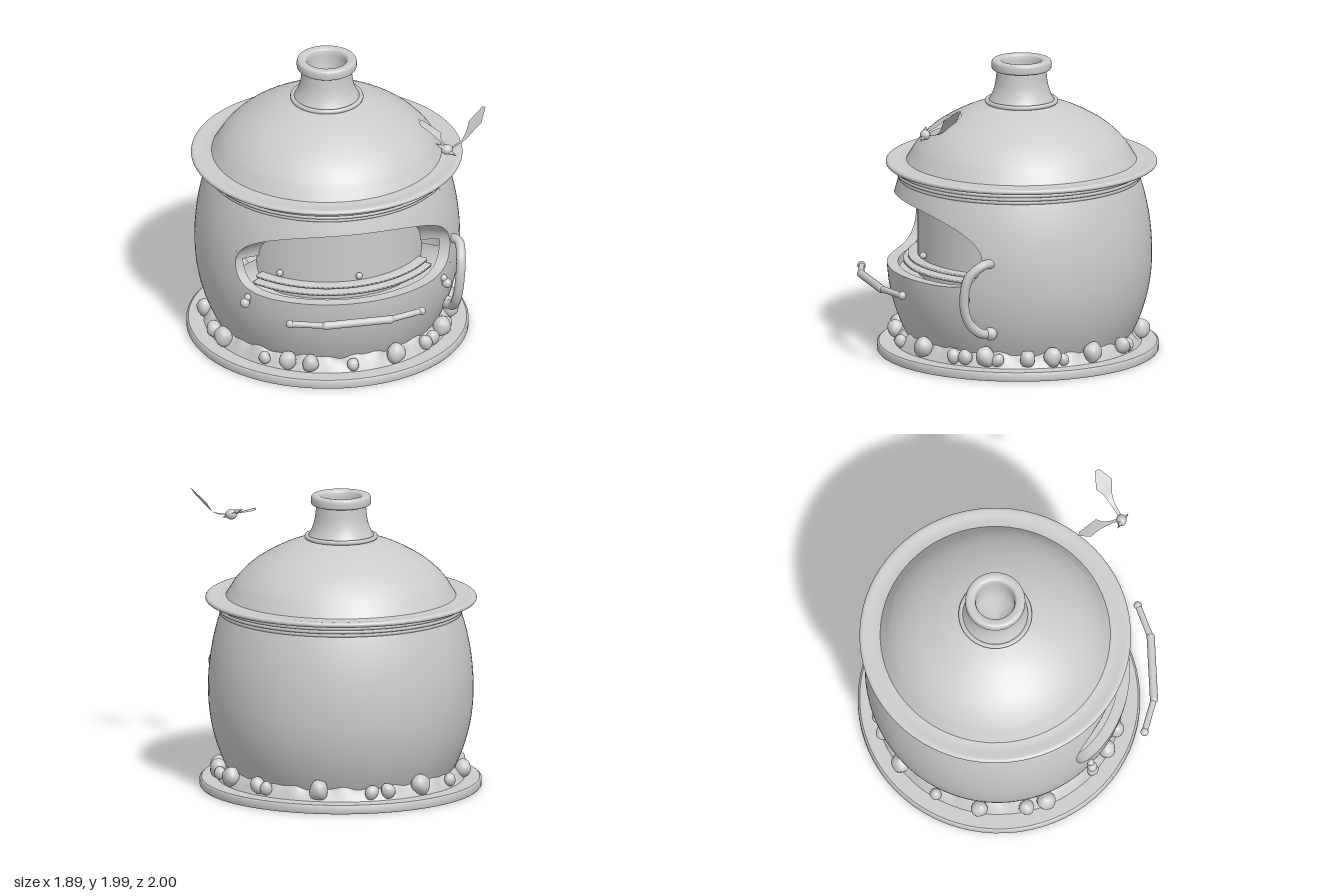
import * as THREE from 'three';
import { ParametricGeometry } from 'three/addons/geometries/ParametricGeometry.js';

const material = new THREE.MeshStandardMaterial({ color: 0xcccccc, side: THREE.DoubleSide });
const AXIS_Z = -0.07;              // the pot's axis sits a little behind the centre
const OPEN = THREE.MathUtils.degToRad(56); // half angle of the oven mouth
const INNER = 0.68;                // radius of the recess wall
const mix = THREE.MathUtils.lerp;

function add(group, name, geometry, x = 0, y = 0, z = 0) {
  const mesh = new THREE.Mesh(geometry, material);
  mesh.name = name;
  mesh.position.set(x, y, z);
  group.add(mesh);
  return mesh;
}
const v3 = ([x, y, z]) => new THREE.Vector3(x, y, z);
const lathe = (points, segments = 72) =>
  new THREE.LatheGeometry(points.map(([r, y]) => new THREE.Vector2(r, y)), segments);

// Smooth lathe through a few profile points
function smoothLathe(points) {
  const curve = new THREE.SplineCurve(points.map(([r, y]) => new THREE.Vector2(r, y)));
  return new THREE.LatheGeometry(curve.getPoints(points.length * 6), 72);
}

// Patch around the axis; f(u, v) returns [angle from the front, radius, y]
function patch(f, nu, nv) {
  return new ParametricGeometry((u, v, target) => {
    const [a, r, y] = f(u, v);
    target.set(r * Math.sin(a), y, r * Math.cos(a));
  }, nu, nv);
}

// Belly radius by height
function belly(y) {
  return y < 0.68
    ? 0.887 - 0.165 * Math.pow((0.68 - y) / 0.62, 2.2)
    : 0.887 - 0.08 * Math.pow((y - 0.68) / 0.5, 2);
}

// Edges of the mouth by angle
const edge = (a, power) => Math.sqrt(Math.max(0, 1 - Math.pow(Math.min(1, Math.abs(a) / OPEN), power)));
const mouthTop = (a) => 0.8 + 0.29 * edge(a, 2.2);
const mouthBottom = (a) => 0.8 - 0.2 * edge(a, 9);
const mouthAngle = (u) => OPEN * Math.sin((u - 0.5) * Math.PI);

function makeBody() {
  const body = new THREE.Group();
  body.name = 'body';
  const top = 1.2, foot = 0.05;

  add(body, 'backWall', patch((u, v) => {
    const y = mix(foot, top, v);
    return [mix(OPEN, 2 * Math.PI - OPEN, u), belly(y), y];
  }, 64, 28));
  add(body, 'frontWallBelowMouth', patch((u, v) => {
    const a = mouthAngle(u), y = mix(foot, mouthBottom(a), v);
    return [a, belly(y), y];
  }, 60, 16));
  add(body, 'frontWallAboveMouth', patch((u, v) => {
    const a = mouthAngle(u), y = mix(mouthTop(a), top, v);
    return [a, belly(y), y];
  }, 60, 8));

  // Thickness of the wall around the mouth
  add(body, 'mouthArch', patch((u, v) => {
    const a = mouthAngle(u), y = mouthTop(a);
    return [a * (1 - 0.03 * v), mix(belly(y), INNER, v), y - 0.03 * v * v];
  }, 60, 6));
  add(body, 'mouthLip', patch((u, v) => {
    const a = mouthAngle(u), y = mouthBottom(a);
    return [a, mix(belly(y), 0.81, v), y];
  }, 60, 3));
  add(body, 'lipInside', patch((u, v) => {
    const a = mouthAngle(u);
    return [a, 0.81, mouthBottom(a) - 0.06 * v];
  }, 60, 2));
  add(body, 'hearthFloor', patch((u, v) => {
    const a = mouthAngle(u);
    return [a, mix(0.81, INNER, v), mouthBottom(a) - 0.06];
  }, 60, 2));
  add(body, 'recessWall', patch((u, v) =>
    [mix(-OPEN, OPEN, u), INNER, mix(0.5, 1.1, v)], 40, 4));

  // Stepped ledge inside the mouth
  const span = OPEN * 0.92;
  for (const [r, y] of [[0.775, 0.61], [0.745, 0.645]]) {
    const section = [[INNER, y], [r, y], [r, y + 0.02], [INNER, y + 0.02]];
    add(body, 'hearthLedge', new THREE.LatheGeometry(
      section.map(([a, b]) => new THREE.Vector2(a, b)), 40, -span, 2 * span));
  }
  for (const x of [-0.44, 0.07]) {
    const z = Math.sqrt(0.7 * 0.7 - x * x);
    add(body, 'ember', new THREE.SphereGeometry(0.024, 10, 8), x, 0.705, z);
  }

  // Beaded bands under the lid
  for (const [y, r] of [[1.195, 0.8], [1.22, 0.81], [1.245, 0.815]]) {
    const ring = add(body, 'neckBand', new THREE.TorusGeometry(r, 0.014, 8, 72), 0, y, 0);
    ring.rotation.x = Math.PI / 2;
  }
  return body;
}

function makeLid() {
  const lid = new THREE.Group();
  lid.name = 'lid';
  add(lid, 'lidRim', smoothLathe([[0.78, 1.25], [0.84, 1.268], [0.89, 1.27], [0.907, 1.287],
    [0.89, 1.305], [0.82, 1.3], [0.765, 1.305]]));
  add(lid, 'dome', smoothLathe([[0.775, 1.295], [0.745, 1.345], [0.695, 1.42], [0.61, 1.505],
    [0.5, 1.58], [0.36, 1.65], [0.22, 1.695]]));
  const collar = add(lid, 'chimneyCollar', new THREE.TorusGeometry(0.23, 0.016, 8, 48), 0, 1.705, 0);
  collar.rotation.x = Math.PI / 2;
  add(lid, 'chimney', smoothLathe([[0.225, 1.7], [0.195, 1.76], [0.175, 1.83], [0.165, 1.93]]));
  add(lid, 'chimneyLip', smoothLathe([[0.165, 1.92], [0.192, 1.922], [0.2, 1.935], [0.2, 1.97],
    [0.19, 1.987], [0.165, 1.99], [0.138, 1.98], [0.13, 1.94]]));
  add(lid, 'flue', lathe([[0.13, 1.95], [0.13, 1.68], [0, 1.68]], 40));
  return lid;
}

// Base plate with a mound of mortar and a ring of stones
function makeBase() {
  const base = new THREE.Group();
  base.name = 'base';
  add(base, 'plate', lathe([[0, 0], [0.935, 0], [0.935, 0], [0.943, 0.01], [0.943, 0.05],
    [0.93, 0.06], [0.93, 0.06], [0, 0.062]]));
  add(base, 'mortar', patch((u, v) => {
    const a = u * 2 * Math.PI;
    const bump = 1 + 0.16 * Math.sin(13 * a) + 0.14 * Math.sin(29 * a + 1);
    return [a, mix(0.83, 0.74, v), 0.055 + 0.1 * bump * Math.sin(v * Math.PI / 2)];
  }, 120, 6));

  const angles = [-80, -70, -43, -31, -20, 0, 22, 41, 47, 57, 63, 77, 89, 94, 110, 131, 136, 163,
    188, 196, 214, 236, 258];
  angles.forEach((deg, i) => {
    const a = THREE.MathUtils.degToRad(deg);
    const size = 0.05 + 0.012 * Math.sin(i * 2.3);
    const geometry = new THREE.SphereGeometry(size, 14, 10);
    const p = geometry.attributes.position;
    for (let k = 0; k < p.count; k++) {
      const f = 1 + 0.09 * Math.sin(p.getX(k) * 60 + i) * Math.cos(p.getY(k) * 50 + 2 * i);
      p.setXYZ(k, p.getX(k) * f, p.getY(k) * f, p.getZ(k) * f);
    }
    geometry.computeVertexNormals();
    const stone = add(base, 'stone', geometry, 0.82 * Math.sin(a), 0.075 + size, 0.82 * Math.cos(a));
    stone.rotation.set(0, a, 0.3 * Math.sin(i * 1.7));
    stone.scale.set(1.05, 1.15, 1);
  });
  return base;
}

function makeFittings() {
  const fittings = new THREE.Group();
  fittings.name = 'fittings';

  // Looped handle on the left side
  const loop = new THREE.CatmullRomCurve3([[0.73, 0.78, 0.34], [0.79, 0.79, 0.43], [0.785, 0.71, 0.53],
    [0.77, 0.55, 0.56], [0.755, 0.4, 0.525], [0.745, 0.31, 0.43], [0.7, 0.3, 0.33]].map(v3));
  add(fittings, 'sideHandle', new THREE.TubeGeometry(loop, 48, 0.032, 12));
  add(fittings, 'handleFoot', new THREE.SphereGeometry(0.045, 14, 10), 0.725, 0.3, 0.36);

  // Knobs beside the mouth
  for (const s of [-1, 1]) {
    add(fittings, 'knob', new THREE.SphereGeometry(0.034, 12, 10), s * 0.69, 0.535, 0.53);
    add(fittings, 'knobTop', new THREE.SphereGeometry(0.025, 12, 10), s * 0.67, 0.57, 0.52);
  }

  // Bent bar in front of the mouth
  const bar = [[-0.46, 0.535, 0.89], [-0.23, 0.535, 0.965], [0.21, 0.535, 0.965], [0.44, 0.535, 0.89]].map(v3);
  for (let i = 0; i < 3; i++) {
    const r = i === 1 ? 0.027 : 0.021;
    add(fittings, 'frontBar', new THREE.TubeGeometry(new THREE.LineCurve3(bar[i], bar[i + 1]), 1, r, 14));
  }
  bar.forEach((p) => add(fittings, 'barJoint', new THREE.SphereGeometry(0.028, 14, 10), p.x, p.y, p.z));
  return fittings;
}

// Small bird hovering by the lid
function makeBird() {
  const bird = new THREE.Group();
  bird.name = 'bird';
  const torso = add(bird, 'birdBody', new THREE.SphereGeometry(0.035, 14, 10), 0.635, 1.68, 0.79);
  torso.scale.set(1.15, 1, 1);
  const spike = (name, from, to, r) => {
    const a = v3(from), d = v3(to).sub(a);
    const cone = add(bird, name, new THREE.ConeGeometry(r, d.length(), 8));
    cone.position.copy(a).addScaledVector(d, 0.5);
    cone.quaternion.setFromUnitVectors(new THREE.Vector3(0, 1, 0), d.normalize());
  };
  spike('beak', [0.62, 1.69, 0.79], [0.56, 1.72, 0.76], 0.02);
  spike('tail', [0.64, 1.67, 0.8], [0.69, 1.65, 0.84], 0.02);

  // Wings are thin ribbons that widen towards the tip and end in a point
  const wing = (name, points, across) => {
    const curve = new THREE.CatmullRomCurve3(points.map(v3));
    const side = v3(across);
    add(bird, name, new ParametricGeometry((u, v, target) => {
      const width = u < 0.7 ? 0.18 + 0.82 * Math.pow(u / 0.7, 3) : 1 - 0.75 * (u - 0.7) / 0.3;
      target.copy(curve.getPoint(u)).addScaledVector(side, (v - 0.5) * width);
    }, 20, 3));
  };
  wing('leftWing', [[0.65, 1.68, 0.79], [0.76, 1.71, 0.73], [0.84, 1.8, 0.69], [0.92, 1.895, 0.64]],
    [0.06, 0.03, 0.11]);
  wing('rightWing', [[0.64, 1.69, 0.78], [0.6, 1.715, 0.69], [0.57, 1.74, 0.61], [0.52, 1.765, 0.5]],
    [0.14, -0.05, 0.04]);
  return bird;
}

export function createModel() {
  const model = new THREE.Group();
  model.name = 'potOven';
  const body = makeBody(), lid = makeLid(), base = makeBase();
  body.position.z = AXIS_Z;
  base.position.z = AXIS_Z + 0.01;
  lid.position.z = AXIS_Z - 0.015;
  model.add(base, body, lid, makeFittings(), makeBird());
  return model;
}
